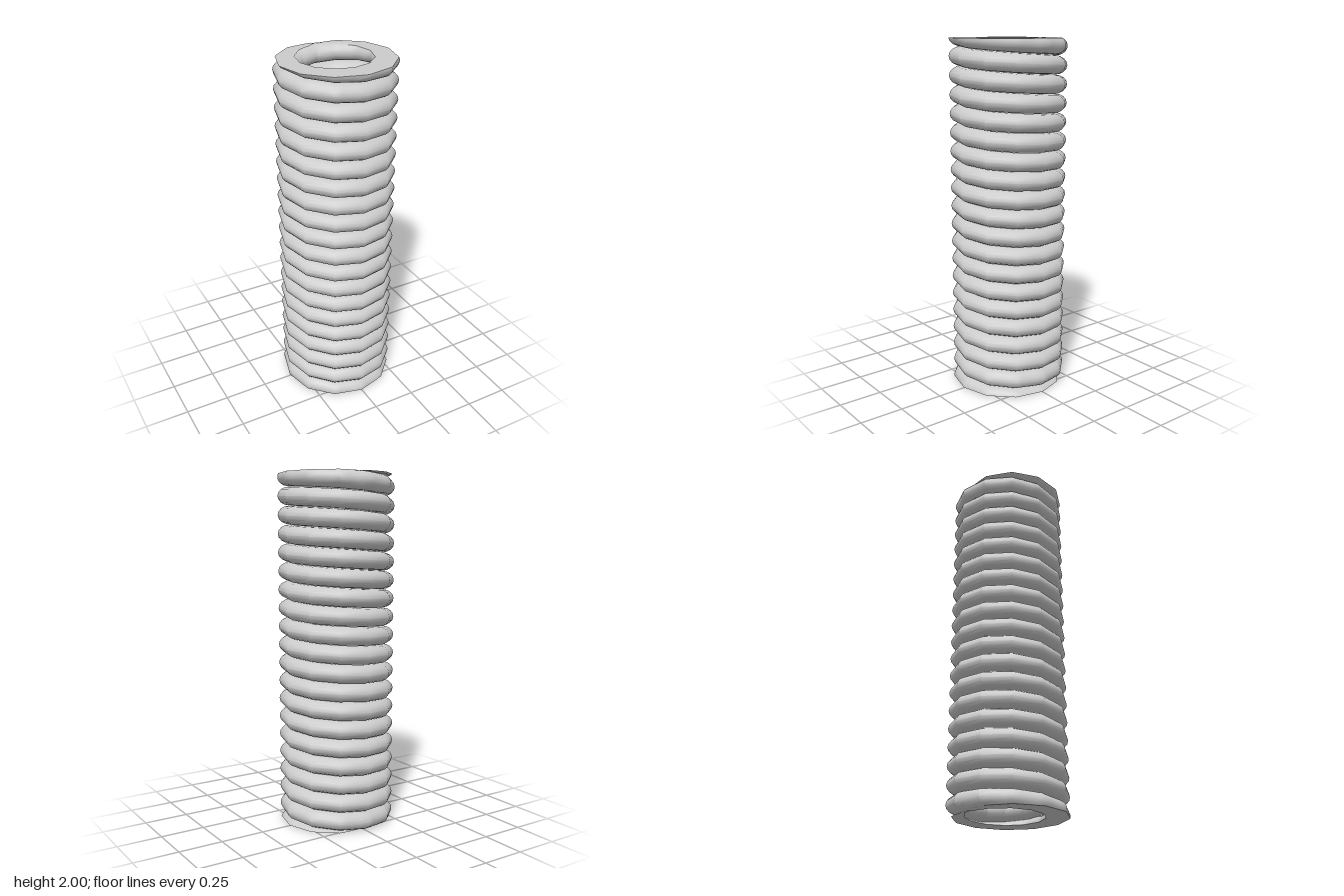
import * as THREE from 'three';
import { toCreasedNormals } from 'three/addons/utils/BufferGeometryUtils.js';

const HEIGHT = 2, PITCH = 0.1052, BASE = -0.027;  // coil rise per turn and starting height
const RADIUS = 0.266, WIRE_X = 0.066, WIRE_Y = 0.052; // coil radius and oval wire section
const SIDES = 12, ARC = 8;                        // straight segments per turn, steps per half section
const FIRST = -0.25, LAST = 19.75;                // turns

// Angle at which the oval section, centred at cy, meets a horizontal plane
const cutAngle = (plane, cy) => Math.asin(THREE.MathUtils.clamp((plane - cy) / WIRE_Y, -1, 1));

// Section of the wire at turn t, trimmed flat at the ground and at the top
function section(t) {
  const phi = t * Math.PI * 2, step = Math.PI * 2 / SIDES;
  const local = phi - Math.floor(phi / step + 1e-6) * step - step / 2;
  const facet = Math.cos(step / 2) / Math.cos(local); // keeps points on the straight segments
  const cy = BASE + PITCH * t;
  const lo = cutAngle(0, cy), hi = cutAngle(HEIGHT, cy);
  const points = [];
  for (const [from, to] of [[lo, hi], [Math.PI - hi, Math.PI - lo]]) {
    for (let k = 0; k <= ARC; k++) {
      const a = from + (to - from) * k / ARC;
      const r = (RADIUS + WIRE_X * Math.cos(a)) * facet;
      points.push(r * Math.cos(phi), cy + WIRE_Y * Math.sin(a), r * Math.sin(phi));
    }
  }
  return points;
}

function coilGeometry() {
  // Finer steps in the ground-off end turns
  const turns = [];
  const segments = Math.round((LAST - FIRST) * SIDES);
  for (let i = 0; i < segments; i++) {
    const parts = i < SIDES * 1.5 || i >= segments - SIDES * 1.5 ? 4 : 1;
    for (let k = 0; k < parts; k++) turns.push(FIRST + (i + k / parts) / SIDES);
  }
  turns.push(LAST);

  const positions = turns.flatMap(section);
  const ring = 2 * (ARC + 1), index = [];
  for (let i = 0; i < turns.length - 1; i++) {
    for (let j = 0; j < ring; j++) {
      const a = i * ring + j, b = i * ring + (j + 1) % ring;
      index.push(a, b, a + ring, b, b + ring, a + ring);
    }
  }
  const geometry = new THREE.BufferGeometry();
  geometry.setAttribute('position', new THREE.Float32BufferAttribute(positions, 3));
  geometry.setIndex(index);
  return toCreasedNormals(geometry, THREE.MathUtils.degToRad(38));
}

export function createModel() {
  const group = new THREE.Group();
  group.name = 'coilSpring';
  const material = new THREE.MeshStandardMaterial({ color: 0xcccccc, side: THREE.DoubleSide });
  const coil = new THREE.Mesh(coilGeometry(), material);
  coil.name = 'springCoil';
  group.add(coil);
  return group;
}
